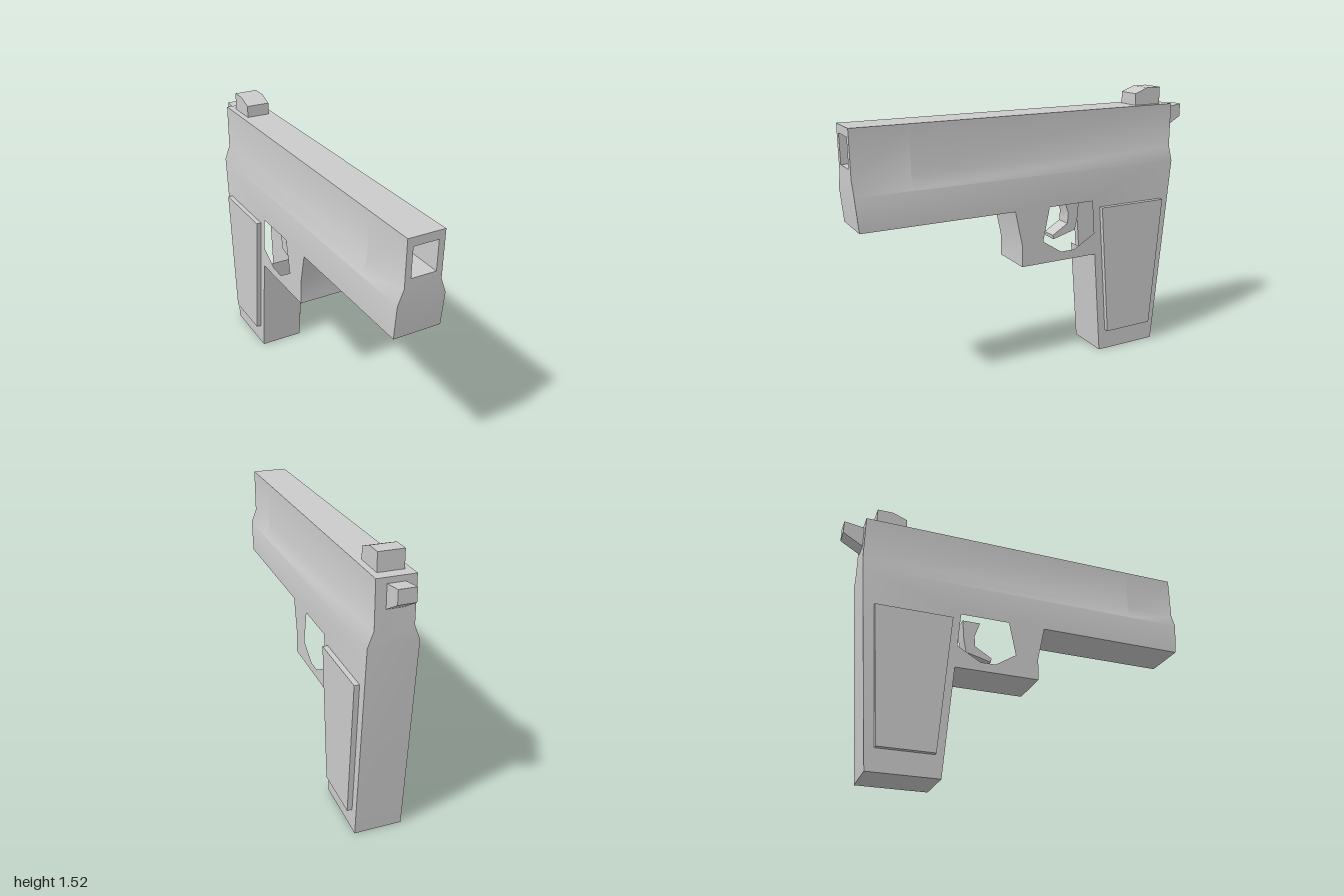
import * as THREE from 'three';
import { mergeGeometries, toCreasedNormals } from 'three/addons/utils/BufferGeometryUtils.js';

const CREASE = 0.6;
const material = new THREE.MeshStandardMaterial({ color: 0xcccccc });
const points = (list) => list.map(([a, b]) => new THREE.Vector2(a, b));

// Extrudes an outline, with optional holes, by the given depth along +z
function extrude(outline, depth, holes = []) {
  const shape = new THREE.Shape(points(outline));
  for (const hole of holes) shape.holes.push(new THREE.Path(points(hole)));
  return new THREE.ExtrudeGeometry(shape, { depth, bevelEnabled: false });
}

// Side profile given as [z, y], spanning x0 to x1
function sideProfile(outline, x0, x1, holes) {
  return extrude(outline, x1 - x0, holes).rotateY(-Math.PI / 2).translate(x1, 0, 0);
}

export function createModel() {
  const model = new THREE.Group();
  const add = (name, geometry) => {
    const mesh = new THREE.Mesh(toCreasedNormals(geometry, CREASE), material);
    mesh.name = name;
    model.add(mesh);
  };

  const bodyHalf = 0.128, slideHalf = 0.098;
  const rear = -0.89, boreBack = 0.7, muzzle = 1;

  // Frame with grip and trigger guard
  const frame = sideProfile([
    [1, 1.1], [0.985, 0.92], [0.14, 0.92], [0.1, 0.73], [0.1, 0.605],
    [-0.37, 0.605], [-0.418, 0], [-0.795, 0], [rear, 1.1],
  ], -bodyHalf, bodyHalf, [[
    [-0.07, 0.92], [-0.03, 0.73], [-0.145, 0.655],
    [-0.23, 0.655], [-0.36, 0.73], [-0.345, 0.92],
  ]]);

  // Tapered slide: solid at the rear, square bore at the muzzle
  const section = [
    [-bodyHalf, 1.1], [bodyHalf, 1.1], [slideHalf, 1.18],
    [slideHalf, 1.425], [-slideHalf, 1.425], [-slideHalf, 1.18],
  ];
  const bore = [[-0.066, 1.225], [-0.066, 1.38], [0.066, 1.38], [0.066, 1.225]];
  const slideRear = extrude(section, boreBack - rear).translate(0, 0, rear);
  const slideFront = extrude(section, muzzle - boreBack, [bore]).translate(0, 0, boreBack);
  add('frameAndSlide', mergeGeometries([frame, slideRear, slideFront]));

  // Raised grip panels on both sides
  const panel = [[-0.395, 0.88], [-0.455, 0.12], [-0.755, 0.12], [-0.815, 0.88]];
  add('leftGripPanel', sideProfile(panel, 0.12, 0.155));
  add('rightGripPanel', sideProfile(panel, -0.155, -0.12));

  // Hooked trigger
  add('trigger', sideProfile([
    [-0.21, 0.93], [-0.24, 0.845], [-0.235, 0.785], [-0.14, 0.728],
    [-0.145, 0.705], [-0.285, 0.742], [-0.3, 0.81], [-0.31, 0.93],
  ], -0.045, 0.045));

  // Rear sight
  add('rearSight', sideProfile([
    [-0.66, 1.42], [-0.66, 1.49], [-0.74, 1.52], [-0.828, 1.52], [-0.828, 1.42],
  ], -0.066, 0.066));

  // Hammer
  add('hammer', sideProfile([
    [-0.88, 1.394], [-1, 1.412], [-1, 1.34], [-0.88, 1.27],
  ], -0.045, 0.045));

  return model;
}
